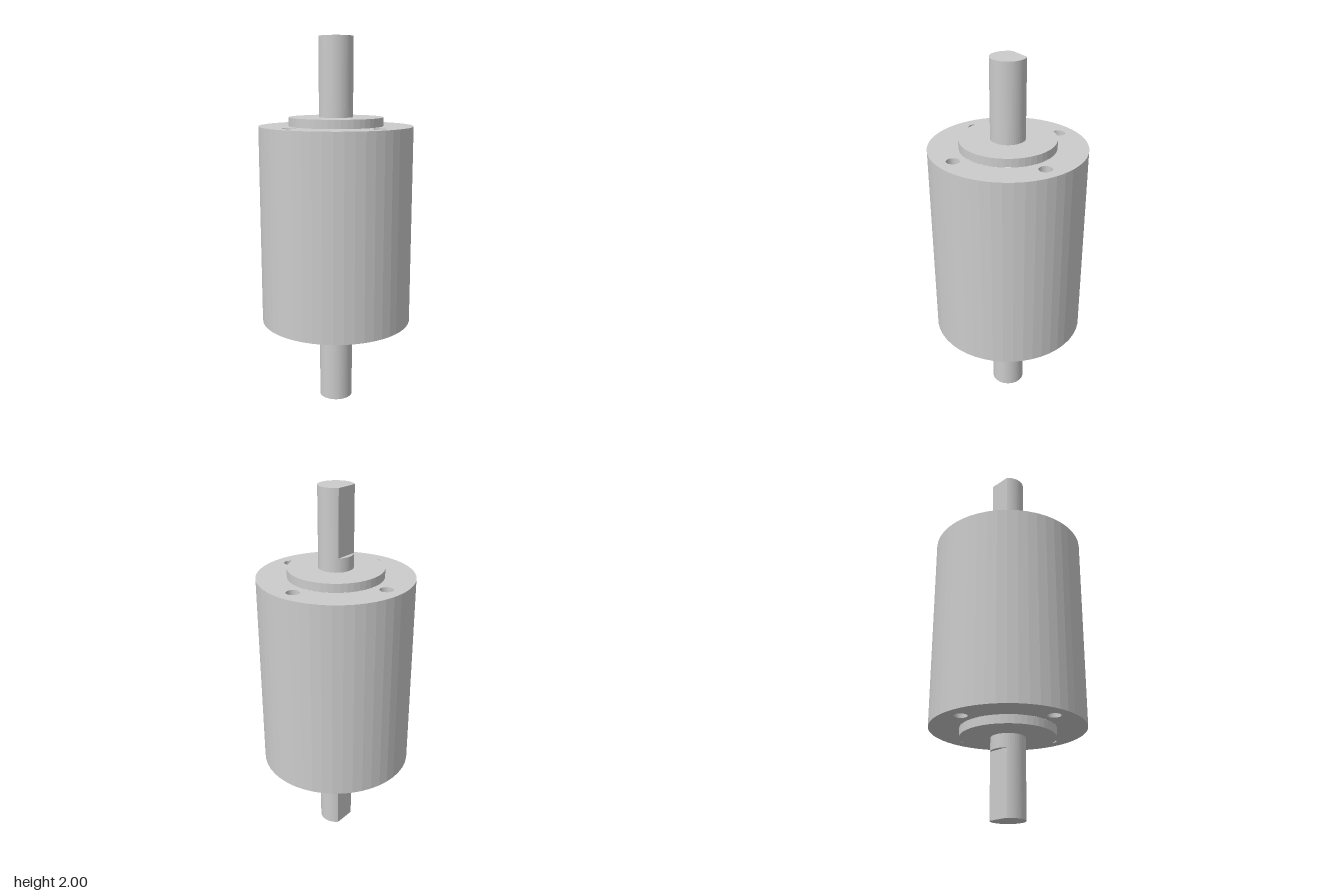
import * as THREE from 'three';

const SIDES = 48;
const BODY_R = 0.412, BODY_TOP = 0.538;   // heights are measured from the middle
const BOSS_R = 0.252, BOSS_TOP = 0.584;
const SHAFT_R = 0.091, FLAT_START = 0.657, FLAT_Z = 0.068;
const HOLE_R = 0.035, HOLE_RING = 0.322, HOLE_DEPTH = 0.11;

const material = new THREE.MeshStandardMaterial({ color: 0xcccccc, flatShading: true });

function part(name, geometry, parent) {
  const mesh = new THREE.Mesh(geometry, material);
  mesh.name = name;
  parent.add(mesh);
  return mesh;
}

function cylinder(radius, bottom, top, open = false) {
  return new THREE.CylinderGeometry(radius, radius, top - bottom, SIDES, 1, open)
    .translate(0, (bottom + top) / 2, 0);
}

function circlePath(x, y, radius) {
  return new THREE.Path().absarc(x, y, radius, 0, Math.PI * 2, true);
}

// One end: drilled face, boss and D-cut shaft
function createEnd(name) {
  const end = new THREE.Group();
  end.name = name;

  const face = new THREE.Shape().absarc(0, 0, BODY_R, 0, Math.PI * 2, false);
  face.holes.push(circlePath(0, 0, BOSS_R));

  // Blind mounting holes, open at the end face
  for (let i = 0; i < 4; i++) {
    const angle = i * Math.PI / 2;
    const x = Math.cos(angle) * HOLE_RING, z = Math.sin(angle) * HOLE_RING;
    face.holes.push(circlePath(x, -z, HOLE_R));
    const profile = [[HOLE_R, 0], [HOLE_R, -HOLE_DEPTH], [0, -HOLE_DEPTH]]
      .map(([r, y]) => new THREE.Vector2(r, y));
    part('mountingHole', new THREE.LatheGeometry(profile, SIDES), end)
      .position.set(x, BODY_TOP, z);
  }
  part('endFace', new THREE.ShapeGeometry(face, SIDES)
    .rotateX(-Math.PI / 2).translate(0, BODY_TOP, 0), end);

  part('boss', cylinder(BOSS_R, BODY_TOP, BOSS_TOP), end);
  part('roundShaft', cylinder(SHAFT_R, BOSS_TOP, FLAT_START), end);

  // Shaft tip with a flat on the back
  const a = Math.asin(FLAT_Z / SHAFT_R);
  const section = new THREE.Shape().absarc(0, 0, SHAFT_R, Math.PI - a, Math.PI * 2 + a, false);
  section.closePath();
  part('flattedShaft', new THREE.ExtrudeGeometry(section, {
    depth: 1 - FLAT_START, bevelEnabled: false, curveSegments: SIDES,
  }).rotateX(-Math.PI / 2).translate(0, FLAT_START, 0), end);
  return end;
}

export function createModel() {
  const model = new THREE.Group();
  model.name = 'doubleShaftMotor';
  model.position.y = 1;

  part('body', cylinder(BODY_R, -BODY_TOP, BODY_TOP, true), model);
  model.add(createEnd('topEnd'));

  // Half turn about z keeps both shaft flats at the back
  const bottom = createEnd('bottomEnd');
  bottom.rotation.z = Math.PI;
  model.add(bottom);

  const root = new THREE.Group();
  root.name = 'model';
  root.add(model);
  return root;
}
